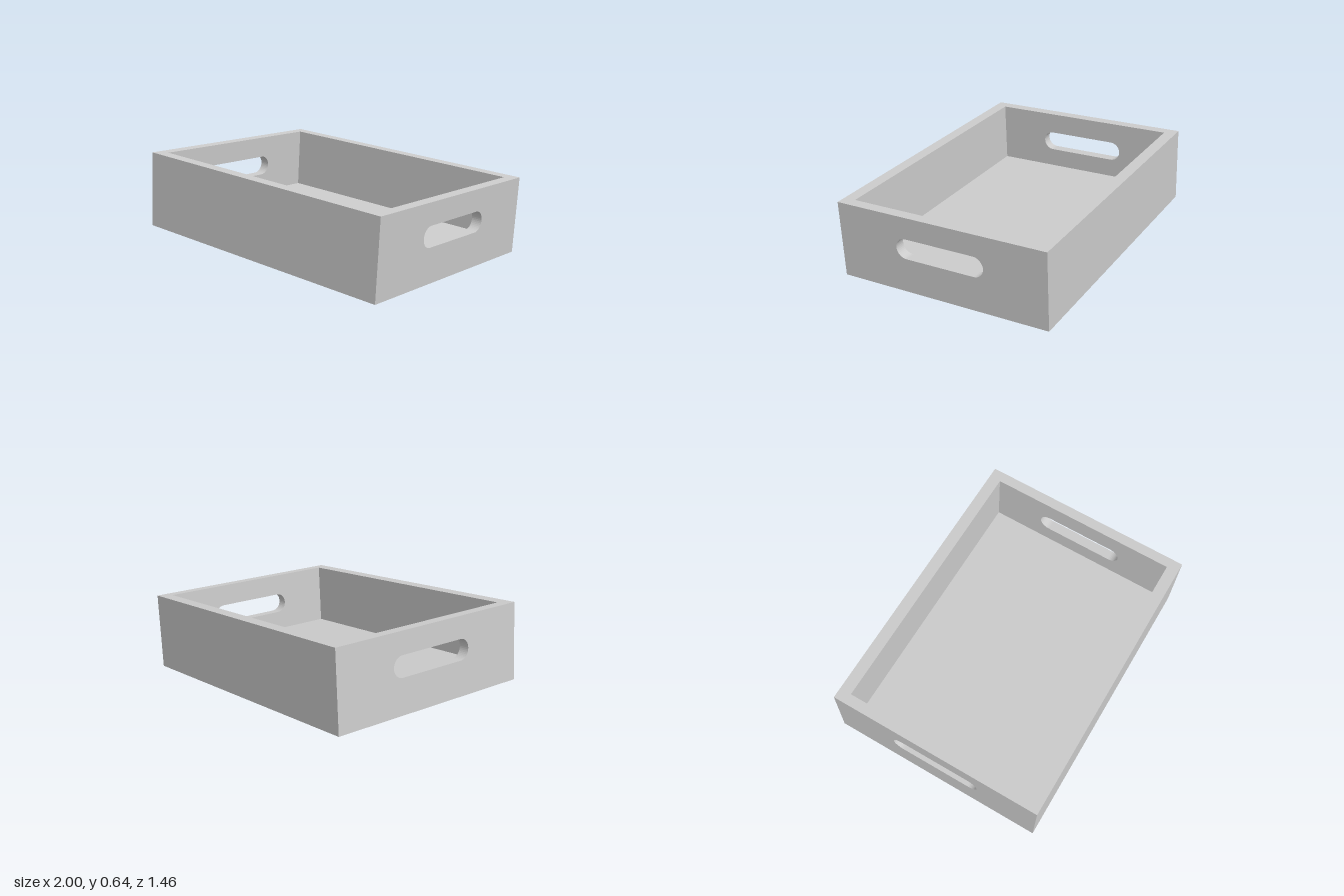
import * as THREE from 'three';

const LENGTH = 1.969, HEIGHT = 0.511, WIDTH = 1.455;
const END = 0.07, SIDE = 0.08, FLOOR = 0.1; // wall and floor thicknesses
const TILT = 0.0661;

const material = new THREE.MeshStandardMaterial({ color: 0xcccccc });

// Extrude a section drawn in (z, y) along x, centred on x = 0
function extrudeAlongX(shape, depth) {
  const g = new THREE.ExtrudeGeometry(shape, { depth, bevelEnabled: false, curveSegments: 10 });
  return g.translate(0, 0, -depth / 2).rotateY(Math.PI / 2);
}

function addPart(parent, name, geometry, x = 0) {
  const mesh = new THREE.Mesh(geometry, material);
  mesh.name = name;
  mesh.position.x = x;
  parent.add(mesh);
}

export function createModel() {
  const model = new THREE.Group();
  model.name = 'tray';
  const tray = new THREE.Group();
  tray.name = 'tiltedTray';
  const w = WIDTH / 2, inner = w - SIDE;

  // Floor and both long walls as one U-shaped section
  const channel = new THREE.Shape([
    [-w, 0], [w, 0], [w, HEIGHT], [inner, HEIGHT],
    [inner, FLOOR], [-inner, FLOOR], [-inner, HEIGHT], [-w, HEIGHT],
  ].map(([z, y]) => new THREE.Vector2(z, y)));
  addPart(tray, 'floorAndLongWalls', extrudeAlongX(channel, LENGTH - 2 * END));

  // End walls with a rounded hand slot
  const end = new THREE.Shape([
    [-w, 0], [w, 0], [w, HEIGHT], [-w, HEIGHT],
  ].map(([z, y]) => new THREE.Vector2(z, y)));
  const r = 0.068, cz = 0.238, cy = 0.298;
  const slot = new THREE.Path();
  slot.absarc(cz, cy, r, -Math.PI / 2, Math.PI / 2);
  slot.absarc(-cz, cy, r, Math.PI / 2, Math.PI * 1.5);
  slot.closePath();
  end.holes.push(slot);
  for (const s of [-1, 1]) {
    addPart(tray, s < 0 ? 'rightEndWall' : 'leftEndWall',
      extrudeAlongX(end, END), s * (LENGTH - END) / 2);
  }

  // The whole tray leans down towards +x, resting on its lower edge
  tray.rotation.z = -TILT;
  tray.position.set(-HEIGHT / 2 * Math.sin(TILT), LENGTH / 2 * Math.sin(TILT), 0);
  model.add(tray);
  return model;
}
